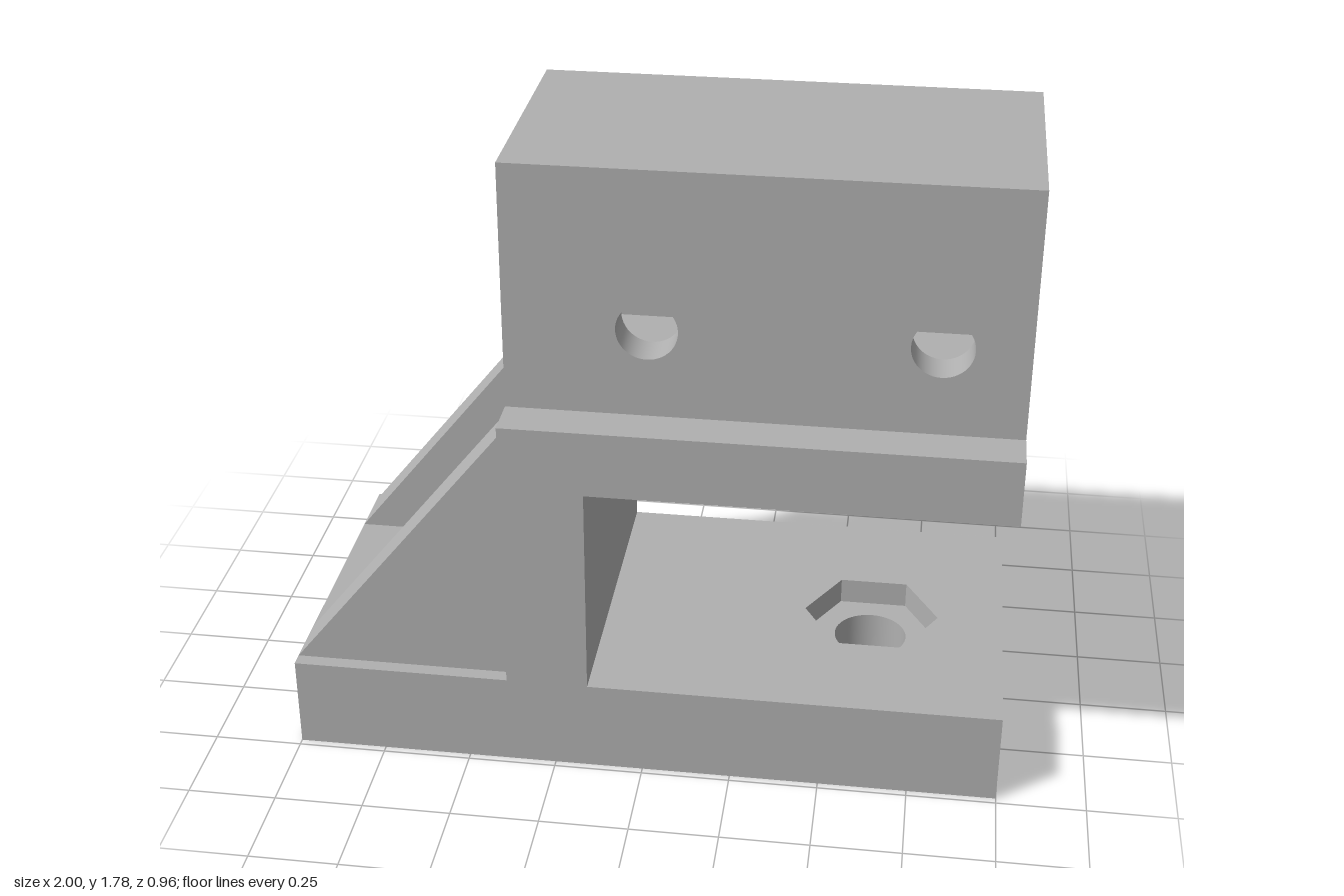
import * as THREE from 'three';
import { toCreasedNormals } from 'three/addons/utils/BufferGeometryUtils.js';

export function createModel() {
  const group = new THREE.Group();
  group.name = 'clampBracket';
  const grey = new THREE.MeshStandardMaterial({ color: 0xb0b0b0 });
  grey.name = 'grey';

  const add = (name, geometry) => {
    const mesh = new THREE.Mesh(geometry, grey);
    mesh.name = name;
    group.add(mesh);
    return mesh;
  };

  const polygon = (points) => new THREE.Shape(points.map(([x, y]) => new THREE.Vector2(x, y)));
  const rect = (x0, y0, x1, y1) => polygon([[x0, y0], [x1, y0], [x1, y1], [x0, y1]]);
  const circle = (x, y, r) => new THREE.Path().absarc(x, y, r, 0, Math.PI * 2, true);
  const hexagon = (x, y, r) => new THREE.Path().setFromPoints(
    Array.from({ length: 7 }, (_, i) => new THREE.Vector2(
      x + r * Math.cos(-i * Math.PI / 3), y + r * Math.sin(-i * Math.PI / 3))));

  // Prism along z from z0 to z1
  const prism = (shape, z0, z1) => {
    const geometry = new THREE.ExtrudeGeometry(shape, { depth: z1 - z0, bevelEnabled: false, curveSegments: 24 });
    return toCreasedNormals(geometry.translate(0, 0, z0), 0.6);
  };
  // Same prism, laid flat so that it rises from y0 to y1
  const slab = (shape, y0, y1) => prism(shape, y0, y1).rotateX(-Math.PI / 2);

  const depth = 0.48;      // half depth of the base and shelf
  const wall = -0.385;     // outer face of the column
  const boltX = 0.616;
  const baseTop = 0.27;
  const recessFloor = 0.193;

  // Base plate: round bolt hole below, hexagonal nut recess above
  const lower = rect(-1, -depth, 1, depth);
  lower.holes.push(circle(boltX, 0, 0.105));
  add('basePlate', slab(lower, 0, recessFloor));
  const upper = rect(-1, -depth, 1, depth);
  upper.holes.push(hexagon(boltX, 0, 0.195));
  add('nutRecessPlate', slab(upper, recessFloor, baseTop));

  // Column with the overhanging shelf
  add('columnAndShelf', prism(polygon([
    [wall, baseTop], [-0.155, baseTop], [-0.155, 0.89], [1, 0.89], [1, 1.08], [wall, 1.08],
  ]), -depth, depth));

  // Housing walls with cross holes, and triangular gussets behind the column
  for (const side of [-1, 1]) {
    const label = side > 0 ? 'front' : 'back';
    const panel = rect(wall, 1.08, 1, 1.78);
    for (const x of [0, 0.77]) panel.holes.push(circle(x, 1.33, 0.083));
    const [a, b] = side > 0 ? [0.25, 0.357] : [-0.357, -0.25];
    add(label + 'HousingWall', prism(panel, a, b));

    const rib = polygon([[-1, baseTop], [wall, baseTop], [wall, 1.04]]);
    add(label + 'Gusset', prism(rib, side * 0.365 - 0.075, side * 0.365 + 0.075));
  }

  // Roof between the housing walls
  add('housingRoof', prism(rect(wall, 1.57, 1, 1.78), -0.25, 0.25));

  return group;
}
